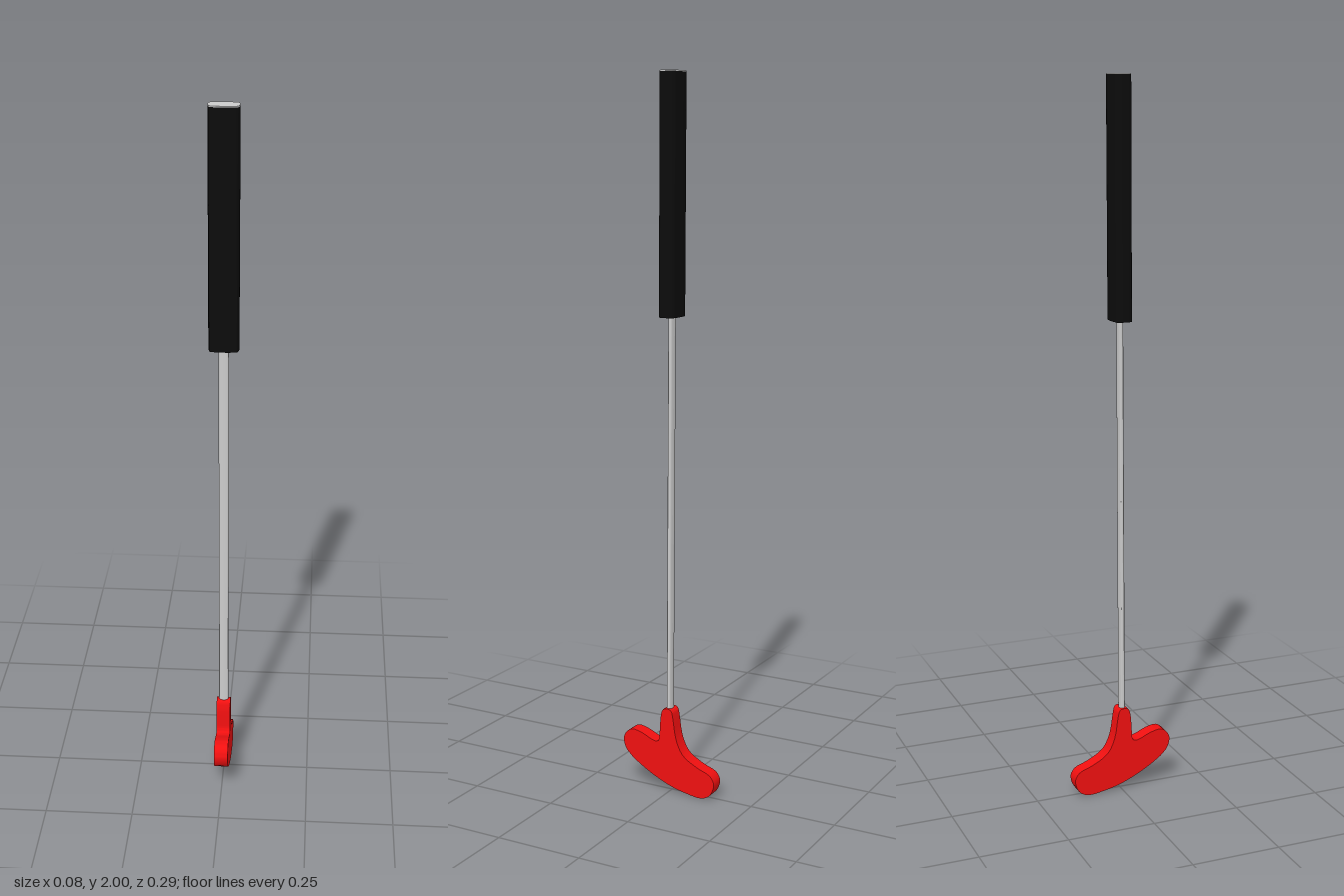
import * as THREE from 'three';
import { toCreasedNormals } from 'three/addons/utils/BufferGeometryUtils.js';

const material = (color) => new THREE.MeshStandardMaterial({ color });

function addPart(group, name, geometry, mat) {
  const mesh = new THREE.Mesh(geometry, mat);
  mesh.name = name;
  group.add(mesh);
}

// The club leans very slightly: z of its axis at height y
const axisZ = (y) => 0.007 - 0.005 * y;

function lean(geometry) {
  const p = geometry.attributes.position;
  for (let i = 0; i < p.count; i++) p.setZ(i, p.getZ(i) + axisZ(p.getY(i)));
  geometry.computeVertexNormals();
  return geometry;
}

// Rounded rectangle with slightly bowed sides
function gripShape(w, d, r) {
  const s = new THREE.Shape();
  const bow = 0.002;
  s.moveTo(-w + r, -d + bow);
  s.quadraticCurveTo(0, -d - bow, w - r, -d + bow);
  s.quadraticCurveTo(w - bow, -d + bow, w - bow, -d + r);
  s.quadraticCurveTo(w + bow, 0, w - bow, d - r);
  s.quadraticCurveTo(w - bow, d - bow, w - r, d - bow);
  s.quadraticCurveTo(0, d + bow, -w + r, d - bow);
  s.quadraticCurveTo(-w + bow, d - bow, -w + bow, d - r);
  s.quadraticCurveTo(-w - bow, 0, -w + bow, -d + r);
  s.quadraticCurveTo(-w + bow, -d + bow, -w + r, -d + bow);
  return s;
}

function gripPrism(y0, y1) {
  const geometry = new THREE.ExtrudeGeometry(gripShape(0.041, 0.025, 0.014), {
    depth: y1 - y0, bevelEnabled: false, curveSegments: 5,
  });
  geometry.rotateX(-Math.PI / 2).translate(0, y0, 0);
  return toCreasedNormals(lean(geometry), 0.7);
}

// Side outline of the head as [z, y]
const headOutline = [
  [0.147, 0.135], [0.14, 0.156], [0.12, 0.17], [0.088, 0.165], [0.045, 0.148],
  [0.033, 0.152], [0.029, 0.18], [0.025, 0.23], [0.018, 0.247], [0.006, 0.25],
  [-0.007, 0.246], [-0.013, 0.225], [-0.023, 0.165], [-0.045, 0.121],
  [-0.093, 0.092], [-0.13, 0.077], [-0.143, 0.055], [-0.132, 0.02],
  [-0.105, 0.005], [-0.055, 0.01], [0, 0.024], [0.077, 0.06], [0.135, 0.103],
];

function headGeometry() {
  const curve = new THREE.CatmullRomCurve3(
    headOutline.map(([z, y]) => new THREE.Vector3(-z, y, 0)), true);
  const shape = new THREE.Shape(curve.getPoints(69).slice(0, -1)
    .map((p) => new THREE.Vector2(p.x, Math.max(p.y, 0))));
  const geometry = new THREE.ExtrudeGeometry(shape, { depth: 0.04, bevelEnabled: false });
  geometry.translate(0, 0, -0.02).rotateY(Math.PI / 2);
  return toCreasedNormals(geometry, 0.6);
}

export function createModel() {
  const club = new THREE.Group();
  club.name = 'putter';
  const steel = material(0xcccccc);

  // Two-way curved head with its neck
  addPart(club, 'head', headGeometry(), material(0xf01010));

  // Slim oval shaft running from the neck into the grip
  const shaft = new THREE.CylinderGeometry(0.014, 0.014, 1.2, 16);
  shaft.scale(1, 1, 0.6).translate(0, 0.82, 0);
  addPart(club, 'shaft', toCreasedNormals(lean(shaft), 0.7), steel);

  // Flat-sided handle and the plate on its end
  addPart(club, 'grip', gripPrism(1.355, 1.997), material(0x0c0c0c));
  addPart(club, 'gripCap', gripPrism(1.997, 2), steel);

  return club;
}
